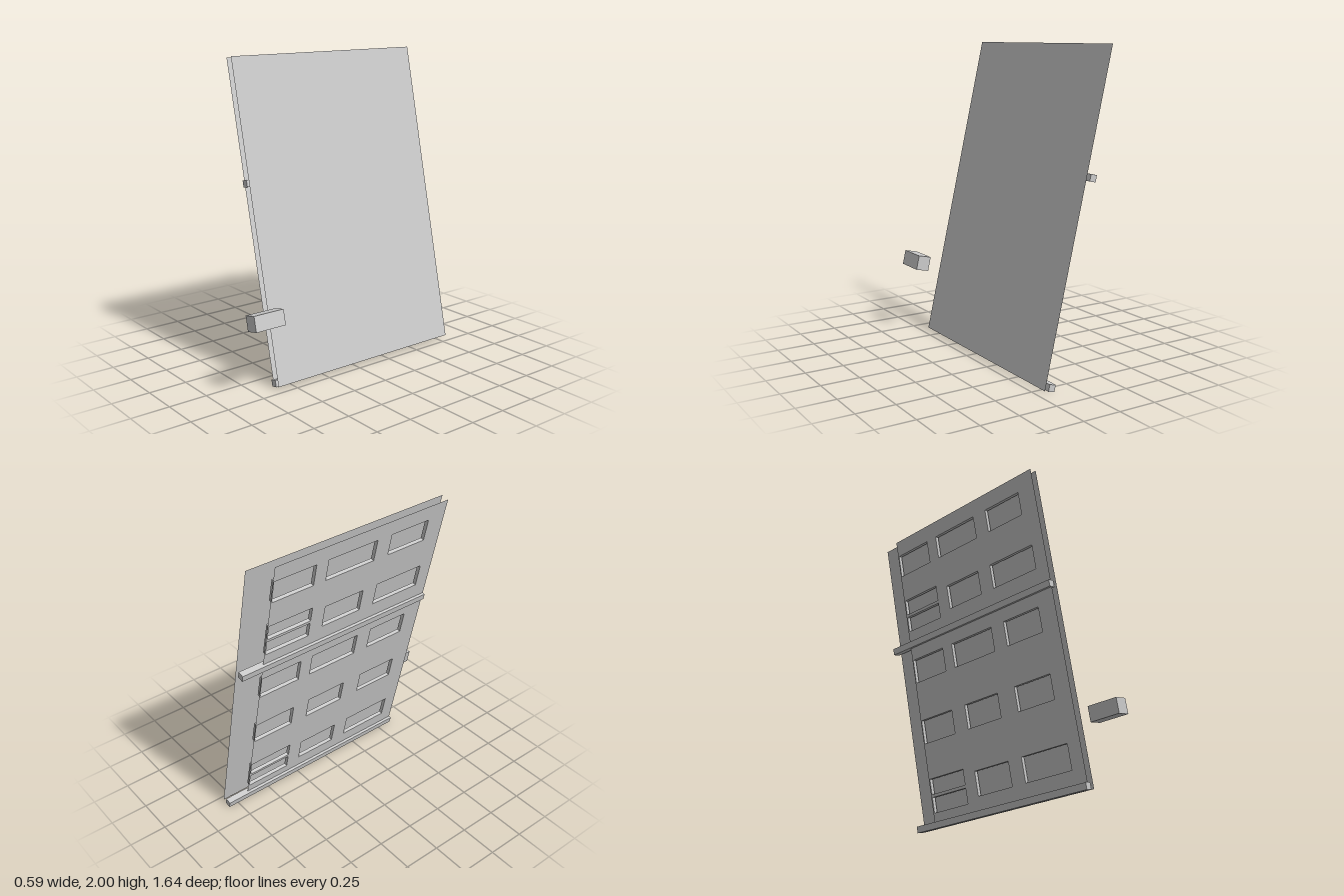
import * as THREE from 'three';

export function createModel() {
  const model = new THREE.Group();
  model.name = 'leaningPanel';
  const solid = new THREE.MeshStandardMaterial({ color: 0xcccccc, flatShading: true });
  const thin = new THREE.MeshStandardMaterial({ color: 0xcccccc, flatShading: true, side: THREE.DoubleSide });

  // Leaning frame: local x runs towards the back (-z), y up the slope, z away from the rear sheet
  const lean = new THREE.Group();
  lean.name = 'leaningAssembly';
  lean.position.set(0.155, 0.01, 0);
  lean.rotation.z = 0.2235;
  model.add(lean);
  const panel = new THREE.Group();
  panel.name = 'panel';
  panel.rotation.y = Math.PI / 2;
  lean.add(panel);

  const add = (name, geometry, material, x = 0, y = 0, z = 0) => {
    const mesh = new THREE.Mesh(geometry, material);
    mesh.name = name;
    mesh.position.set(x, y, z);
    panel.add(mesh);
    return mesh;
  };

  const rect = (Type, x0, x1, y0, y1) => {
    const r = new Type();
    r.moveTo(x0, y0);
    r.lineTo(x1, y0);
    r.lineTo(x1, y1);
    r.lineTo(x0, y1);
    r.closePath();
    return r;
  };

  const LENGTH = 2.03, FRONT = 0.61, BACK = -0.82;
  const GAP = 0.051, DEPTH = 0.025;

  // Window rows (bottom, top along the slope) and which column is wide
  const rows = [
    { y: [1.77, 1.923], wide: 1 },
    { y: [1.39, 1.55], wide: 2, tall: [1.36, 1.587] },
    { y: [0.99, 1.152], wide: 1 },
    { y: [0.565, 0.725] },
    { y: [0.13, 0.29], wide: 2, tall: [0.1, 0.325] },
  ];
  const centres = [-0.512, -0.1, 0.335];
  const windows = [];
  for (const row of rows) {
    centres.forEach((c, i) => {
      const tall = i === 0 && row.tall;
      const half = row.wide === i ? 0.18 : 0.145;
      const z = tall ? [-0.655, -0.345] : [c - half, c + half];
      const [y0, y1] = tall || row.y;
      windows.push({ x0: -z[1], x1: -z[0], y0, y1, tall });
    });
  }

  // Rear sheet pierced by the windows
  const sheet = rect(THREE.Shape, -FRONT, 0.665, 0, LENGTH);
  for (const w of windows) sheet.holes.push(rect(THREE.Path, w.x0, w.x1, w.y0, w.y1));
  add('rearSheet', new THREE.ShapeGeometry(sheet), thin);

  // Open four-sided reveals behind each window, with a divider in the tall ones
  for (const { x0, x1, y0, y1, tall } of windows) {
    const w = x1 - x0, h = y1 - y0, cx = (x0 + x1) / 2, cy = (y0 + y1) / 2;
    const reveal = new THREE.BoxGeometry(w, h, DEPTH);
    reveal.setIndex(Array.from(reveal.index.array.slice(0, 24)));
    reveal.clearGroups();
    add('windowReveal', reveal, thin, cx, cy, DEPTH / 2);
    if (tall) add('windowDivider', new THREE.BoxGeometry(w, 0.02, DEPTH), solid, cx, cy, DEPTH / 2);
  }

  // Plain outer sheet
  const width = FRONT - BACK, mid = -(FRONT + BACK) / 2;
  add('outerSheet', new THREE.PlaneGeometry(width, LENGTH), thin, mid, LENGTH / 2, GAP);

  // Horizontal rails at the foot and above the middle
  for (const [name, y] of [['footRail', 0.019], ['middleRail', 1.26]]) {
    add(name, new THREE.BoxGeometry(width, 0.043, 0.043), solid, mid, y, 0.003);
  }

  // Block standing off the front edge
  add('sideBlock', new THREE.BoxGeometry(0.21, 0.098, 0.092), solid, -0.715, 0.448, 0.184);

  return model;
}
